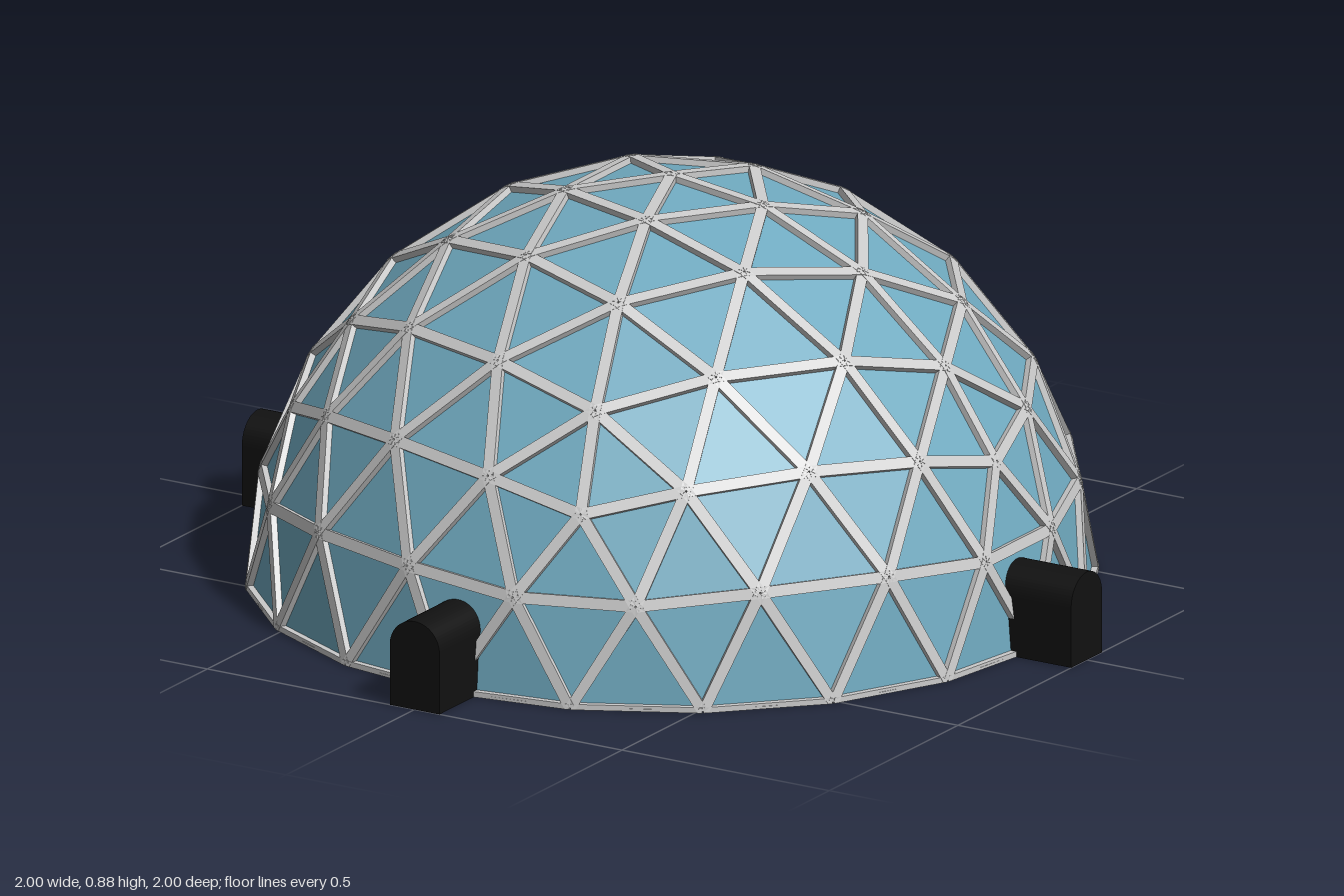
import * as THREE from 'three';
import { mergeGeometries } from 'three/addons/utils/BufferGeometryUtils.js';

const R = 0.865;          // dome radius
const STRUT_WIDTH = 0.024;
const STRUT_DEPTH = 0.024;

// Upper half of a four-frequency geodesic sphere with a five-way joint on top
function hemisphereTriangles() {
  const sphere = new THREE.IcosahedronGeometry(R, 3);
  sphere.rotateZ(-Math.atan(2 / (1 + Math.sqrt(5))));
  const pos = sphere.attributes.position;
  const triangles = [];
  for (let i = 0; i < pos.count; i += 3) {
    const tri = [0, 1, 2].map(k => new THREE.Vector3().fromBufferAttribute(pos, i + k));
    if (tri[0].y + tri[1].y + tri[2].y < 0.01) continue;
    tri.forEach(p => { p.y = Math.max(p.y, 0); });
    triangles.push(tri);
  }
  return triangles;
}

// Flat bar along one edge, its broad face turned outward
function strut(a, b) {
  const along = b.clone().sub(a);
  const length = along.length();
  along.normalize();
  const mid = a.clone().add(b).multiplyScalar(0.5);
  const out = mid.clone().normalize();
  const side = new THREE.Vector3().crossVectors(out, along);
  const bar = new THREE.BoxGeometry(STRUT_WIDTH, STRUT_DEPTH, length);
  bar.applyMatrix4(new THREE.Matrix4().makeBasis(side, out, along).setPosition(mid));
  // Keep the bars of the bottom ring on the ground
  const pos = bar.attributes.position;
  for (let i = 0; i < pos.count; i++) pos.setY(i, Math.max(pos.getY(i), 0));
  return bar;
}

// Solid arched entrance reaching out along +z
function entranceGeometry() {
  const r = 0.06, wall = 0.13, inner = 0.78;
  const arch = new THREE.Shape();
  arch.moveTo(-r, 0);
  arch.lineTo(r, 0);
  arch.lineTo(r, wall);
  arch.absarc(0, wall, r, 0, Math.PI, false);
  arch.closePath();
  const geometry = new THREE.ExtrudeGeometry(arch, {
    depth: 1 - inner, bevelEnabled: false, curveSegments: 16,
  });
  return geometry.translate(0, 0, inner);
}

export function createModel() {
  const group = new THREE.Group();
  const add = (name, geometry, material) => {
    const mesh = new THREE.Mesh(geometry, material);
    mesh.name = name;
    group.add(mesh);
    return mesh;
  };
  const grey = new THREE.MeshStandardMaterial({ color: 0xcccccc });
  const blue = new THREE.MeshStandardMaterial({ color: 0x70aac0, flatShading: true, side: THREE.DoubleSide });
  const black = new THREE.MeshStandardMaterial({ color: 0x111111 });

  // Triangular panels
  const triangles = hemisphereTriangles();
  const panels = new THREE.BufferGeometry().setFromPoints(triangles.flat());
  panels.computeVertexNormals();
  add('domePanels', panels, blue);

  // One strut for every distinct panel edge
  const edges = new Map();
  const key = p => p.toArray().map(v => Math.round(v * 1000) + 0).join(',');
  for (const tri of triangles) {
    for (let k = 0; k < 3; k++) {
      const a = tri[k], b = tri[(k + 1) % 3];
      edges.set([key(a), key(b)].sort().join('|'), [a, b]);
    }
  }
  add('domeStruts', mergeGeometries([...edges.values()].map(([a, b]) => strut(a, b))), grey);

  // Floor disc
  const floor = add('floor', new THREE.CylinderGeometry(0.868, 0.868, 0.004, 64), grey);
  floor.position.y = 0.004;

  // Four entrances, one on each side
  const entrance = entranceGeometry();
  ['front', 'left', 'back', 'right'].forEach((side, i) => {
    add(side + 'Entrance', entrance, black).rotation.y = i * Math.PI / 2;
  });

  return group;
}
